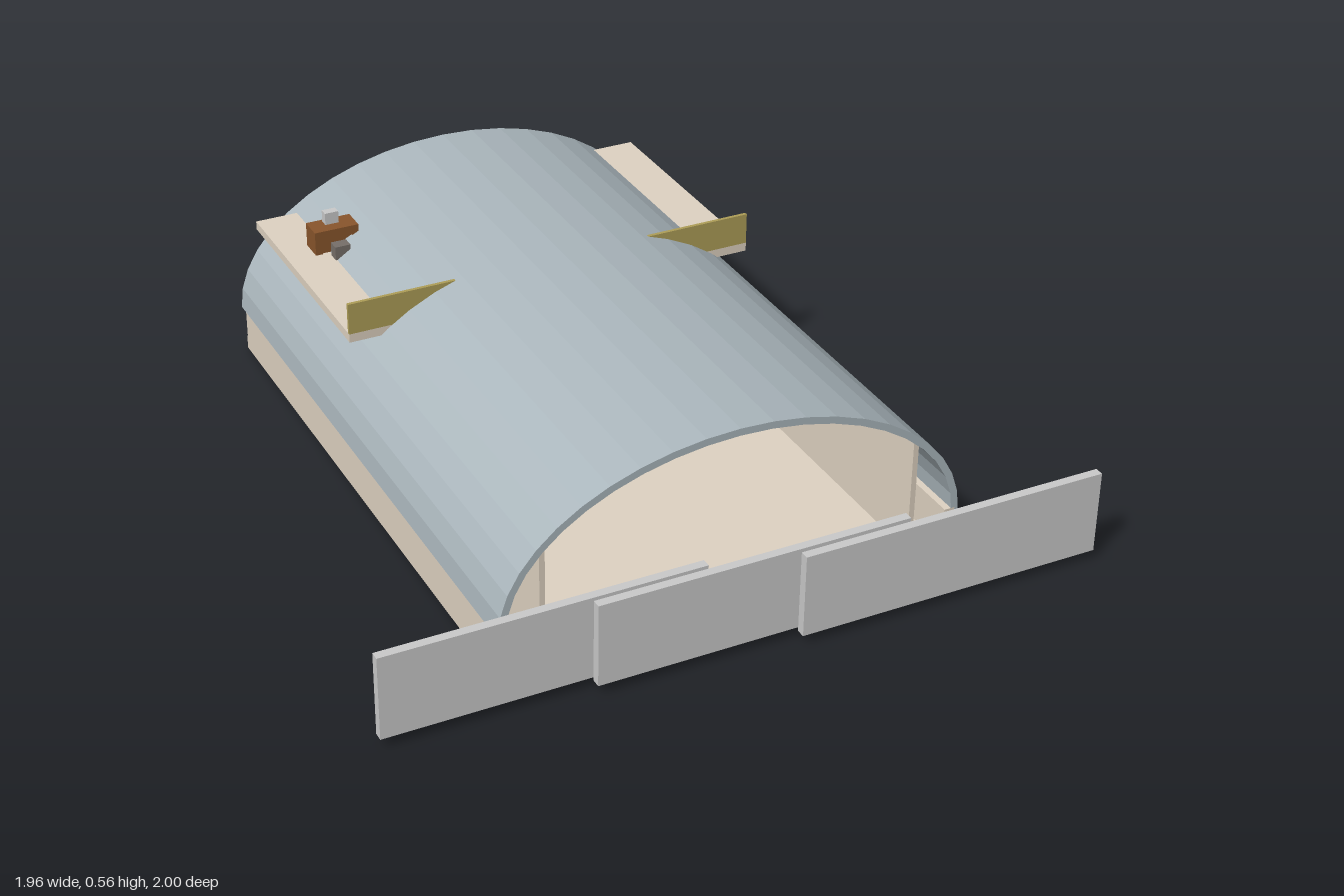
import * as THREE from 'three';

const CX = 0.02, SPRING = 0.14; // arch centre line and springing height
const paint = (color) => new THREE.MeshStandardMaterial({ color, flatShading: true });
const MAT = {
  shell: paint(0xacb8be), wall: paint(0xe0d4c3), ochre: paint(0xaf9f58),
  brown: paint(0x8a562c), dark: paint(0x77706a), grey: paint(0xcccccc),
};

// Points along a half-ellipse, from +x over the crown to -x
function arch(rx, ry, n = 22) {
  return Array.from({ length: n + 1 }, (_, i) => {
    const a = (Math.PI * i) / n;
    return new THREE.Vector2(CX + rx * Math.cos(a), SPRING + ry * Math.sin(a));
  });
}

export function createModel() {
  const model = new THREE.Group();
  const add = (name, geometry, material) => {
    const mesh = new THREE.Mesh(geometry, material);
    mesh.name = name;
    model.add(mesh);
    return mesh;
  };
  // Box given by its extents on each axis
  const box = (name, material, [x0, x1], [y0, y1], [z0, z1]) => {
    const m = add(name, new THREE.BoxGeometry(x1 - x0, y1 - y0, z1 - z0), material);
    m.position.set((x0 + x1) / 2, (y0 + y1) / 2, (z0 + z1) / 2);
    return m;
  };

  // Vaulted shell
  const ring = new THREE.Shape([...arch(0.65, 0.42), ...arch(0.63, 0.4).reverse()]);
  const shell = new THREE.ExtrudeGeometry(ring, { depth: 1.82, bevelEnabled: false });
  shell.translate(0, 0, -1);
  add('vaultedRoof', shell, MAT.shell);

  // Floor slab, low outer walls and inner lining walls
  box('floorSlab', MAT.wall, [-0.62, 0.66], [0, 0.04], [-0.995, 0.82]);
  for (const s of [-1, 1]) {
    const span = (a, b) => [CX + s * a, CX + s * b].sort((p, q) => p - q);
    box('outerWall', MAT.wall, span(0.61, 0.64), [0.04, 0.15], [-0.995, 0.82]);
    box('liningWall', MAT.wall, span(0.515, 0.53), [0.04, 0.375], [-0.95, 0.8]);
  }
  box('innerBackWall', MAT.wall, [-0.51, 0.55], [0.04, 0.395], [-0.95, -0.93]);
  box('innerPost', MAT.dark, [-0.27, -0.23], [0.04, 0.395], [-0.93, -0.89]);
  box('liningDoor', MAT.dark, [-0.495, -0.485], [0.04, 0.14], [0.17, 0.26]);

  // Rear end wall, facing outwards only
  const end = new THREE.Shape([
    new THREE.Vector2(-0.62, 0), new THREE.Vector2(0.66, 0),
    ...arch(0.64, 0.385),
  ]);
  const doorway = new THREE.Path([[0.28, 0.04], [0.28, 0.14], [0.37, 0.14], [0.37, 0.04]]
    .map(([x, y]) => new THREE.Vector2(x, y)));
  end.holes.push(doorway);
  const endGeo = new THREE.ShapeGeometry(end);
  // Reverse the winding so the face looks towards -z
  const index = endGeo.index.array;
  for (let i = 0; i < index.length; i += 3) [index[i], index[i + 2]] = [index[i + 2], index[i]];
  endGeo.computeVertexNormals();
  endGeo.translate(0, 0, -0.975);
  add('rearWall', endGeo, MAT.wall);
  box('rearWallFoot', MAT.wall, [-0.62, 0.66], [0, 0.04], [-1, -0.97]);
  box('rearDoor', MAT.shell, [0.28, 0.37], [0.04, 0.14], [-0.97, -0.955]);

  // Stepped brackets under the rear edge of the roof
  for (let i = 0; i < 14; i++) {
    const a = Math.PI * (0.11 + (0.78 * i) / 13);
    const x = CX + 0.615 * Math.cos(a), y = SPRING + 0.385 * Math.sin(a);
    box('roofBracket', MAT.shell, [x - 0.018, x + 0.018], [y - 0.02, y + 0.014], [-0.998, -0.97]);
  }

  // Upper deck crossing the roof, with its front parapet
  box('upperDeck', MAT.wall, [-0.58, 0.62], [0.4, 0.425], [-0.965, -0.24]);
  box('deckParapet', MAT.ochre, [-0.58, 0.62], [0.425, 0.515], [-0.25, -0.24]);
  box('deckLocker', MAT.dark, [-0.08, 0.13], [0.425, 0.525], [-0.8, -0.7]);

  // Desk with a raised unit and a stool on the deck
  box('deskTop', MAT.brown, [-0.5, -0.37], [0.47, 0.495], [-0.765, -0.695]);
  for (const x of [-0.5, -0.39]) {
    box('deskLeg', MAT.brown, [x, x + 0.02], [0.425, 0.47], [-0.765, -0.695]);
  }
  box('deskPanel', MAT.brown, [-0.48, -0.39], [0.425, 0.47], [-0.71, -0.7]);
  box('deskUnit', MAT.grey, [-0.455, -0.415], [0.495, 0.53], [-0.755, -0.73]);
  box('stool', MAT.dark, [-0.46, -0.415], [0.425, 0.465], [-0.68, -0.645]);

  // Three overlapping sliding door panels
  [[-0.98, 0.91], [-0.43, 0.947], [0.115, 0.985]].forEach(([x, z]) =>
    box('slidingDoor', MAT.grey, [x, x + 0.865], [0.03, 0.265], [z - 0.0125, z + 0.0125]));

  return model;
}
